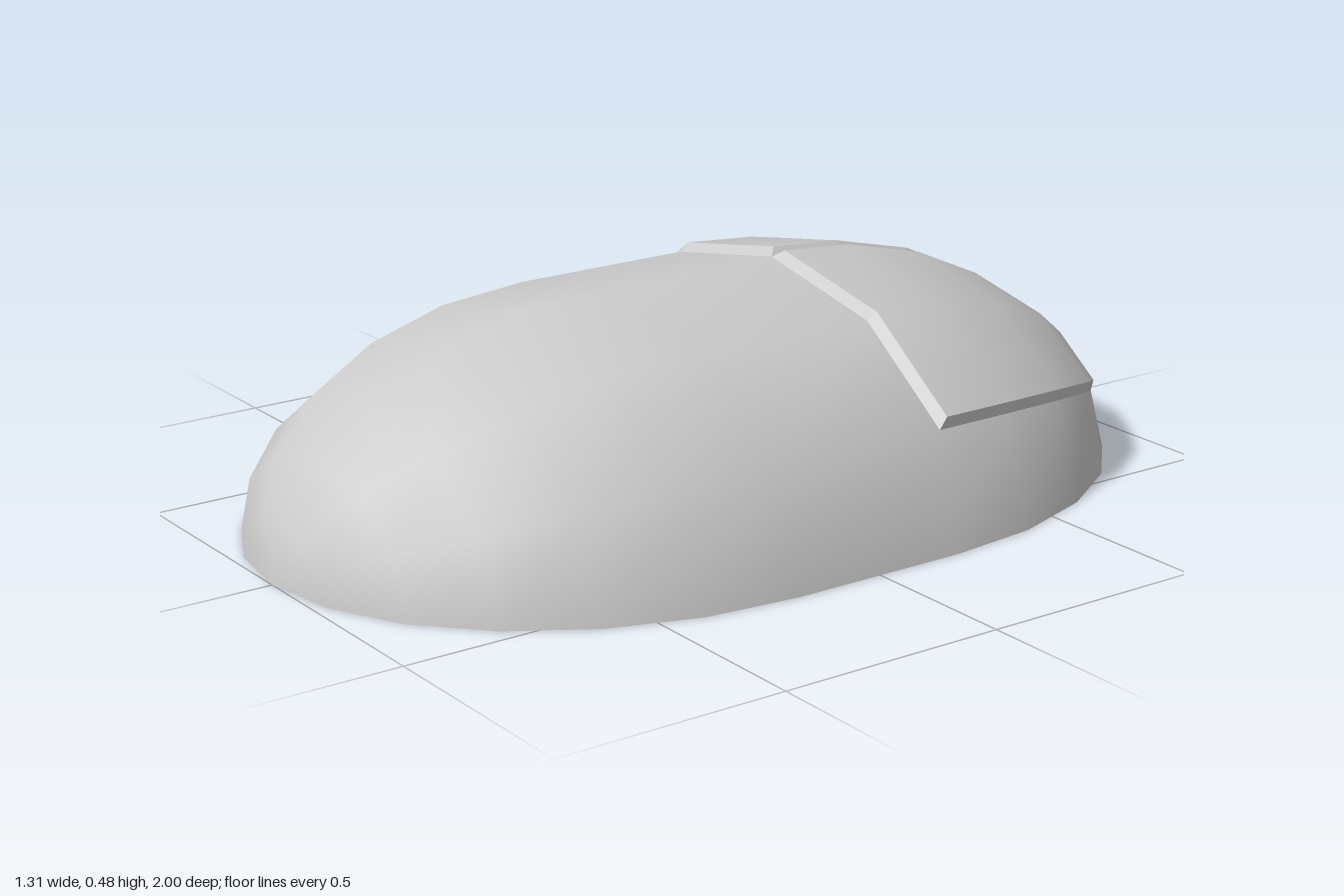
import * as THREE from 'three';
import { mergeVertices } from 'three/addons/utils/BufferGeometryUtils.js';

const W = 0.653, H = 0.47, CAP = 0.8, MID = 0.2; // half width, height, cap length, half of straight part
const LIFT = 0.02, INSET = 0.02;
const rad = THREE.MathUtils.degToRad;

// Cross-section rings from +z to -z, each { z, r }
const ring = (deg, side) => ({ z: side * MID + CAP * Math.cos(rad(deg)), r: Math.sin(rad(deg)) });
const rings = [];
for (let d = 0; d <= 90; d += 15) rings.push(ring(d, 1));
for (let d = 90; d <= 180; d += 15) rings.push(ring(d, -1));

const point = ({ z, r }, deg) =>
  new THREE.Vector3(W * r * Math.cos(rad(deg)), H * r * Math.sin(rad(deg)), z);

// Smooth surface through a grid of points
function gridGeometry(grid) {
  const pos = grid.flat().flatMap(p => p.toArray());
  const n = grid[0].length, index = [];
  for (let i = 0; i < grid.length - 1; i++)
    for (let j = 0; j < n - 1; j++) {
      const a = i * n + j, b = a + n, c = b + 1, d = a + 1;
      index.push(a, b, c, a, c, d);
    }
  const g = new THREE.BufferGeometry();
  g.setAttribute('position', new THREE.Float32BufferAttribute(pos, 3));
  g.setIndex(index);
  const merged = mergeVertices(g, 1e-5);
  merged.computeVertexNormals();
  return merged;
}

// Flat bevel strip joining two closed loops
function wallGeometry(low, high) {
  const pos = [];
  low.forEach((p, k) => {
    const m = (k + 1) % low.length;
    for (const v of [p, low[m], high[m], p, high[m], high[k]]) pos.push(...v.toArray());
  });
  const g = new THREE.BufferGeometry();
  g.setAttribute('position', new THREE.Float32BufferAttribute(pos, 3));
  g.computeVertexNormals();
  return g;
}

// Points around the rim of a grid
function rim(grid) {
  const n = grid.length, m = grid[0].length, out = [];
  for (let i = 0; i < n - 1; i++) out.push(grid[i][0]);
  for (let j = 0; j < m - 1; j++) out.push(grid[n - 1][j]);
  for (let i = n - 1; i > 0; i--) out.push(grid[i][m - 1]);
  for (let j = m - 1; j > 0; j--) out.push(grid[0][j]);
  return out;
}

// Raised button plate with bevelled edges
function button(angles, material, name) {
  const rows = [{ z: -0.22, r: 0.997 }, ...[105, 120, 135, 150].map(d => ring(d, -1))];
  const base = rows.map(r => angles.map(a => point(r, a)));
  const last = rows.length - 1, end = angles.length - 1;
  const raised = base.map((row, i) => row.map((p, j) => {
    const q = p.clone();
    const pull = t => q.addScaledVector(t.clone().sub(p).normalize(), INSET);
    if (i === 0) pull(base[1][j]);
    if (i === last) pull(base[i - 1][j]);
    if (j === 0) pull(row[1]);
    if (j === end) pull(row[j - 1]);
    const normal = new THREE.Vector3(p.x / W ** 2, p.y / H ** 2, (p.z + MID) / CAP ** 2).normalize();
    return q.addScaledVector(normal, LIFT);
  }));
  const group = new THREE.Group();
  group.name = name;
  const top = new THREE.Mesh(gridGeometry(raised), material);
  top.name = name + 'Top';
  const edge = new THREE.Mesh(wallGeometry(rim(base), rim(raised)), material);
  edge.name = name + 'Edge';
  group.add(top, edge);
  return group;
}

export function createModel() {
  const model = new THREE.Group();
  model.name = 'computerMouse';
  const material = new THREE.MeshStandardMaterial({ color: 0xcccccc });

  // Domed shell
  const angles = [0, 30, 60, 90, 120, 150, 180];
  const shell = new THREE.Mesh(gridGeometry(rings.map(r => angles.map(a => point(r, a)))), material);
  shell.name = 'shell';

  // Flat underside
  const outline = [
    ...rings.map(r => new THREE.Vector2(W * r.r, r.z)),
    ...rings.slice(1, -1).reverse().map(r => new THREE.Vector2(-W * r.r, r.z)),
  ];
  const underside = new THREE.Mesh(
    new THREE.ShapeGeometry(new THREE.Shape(outline)).rotateX(Math.PI / 2), material);
  underside.name = 'underside';

  // Two buttons with a V groove between them
  model.add(shell, underside,
    button([30, 60, 90], material, 'leftButton'),
    button([90, 120, 150], material, 'rightButton'));
  return model;
}
